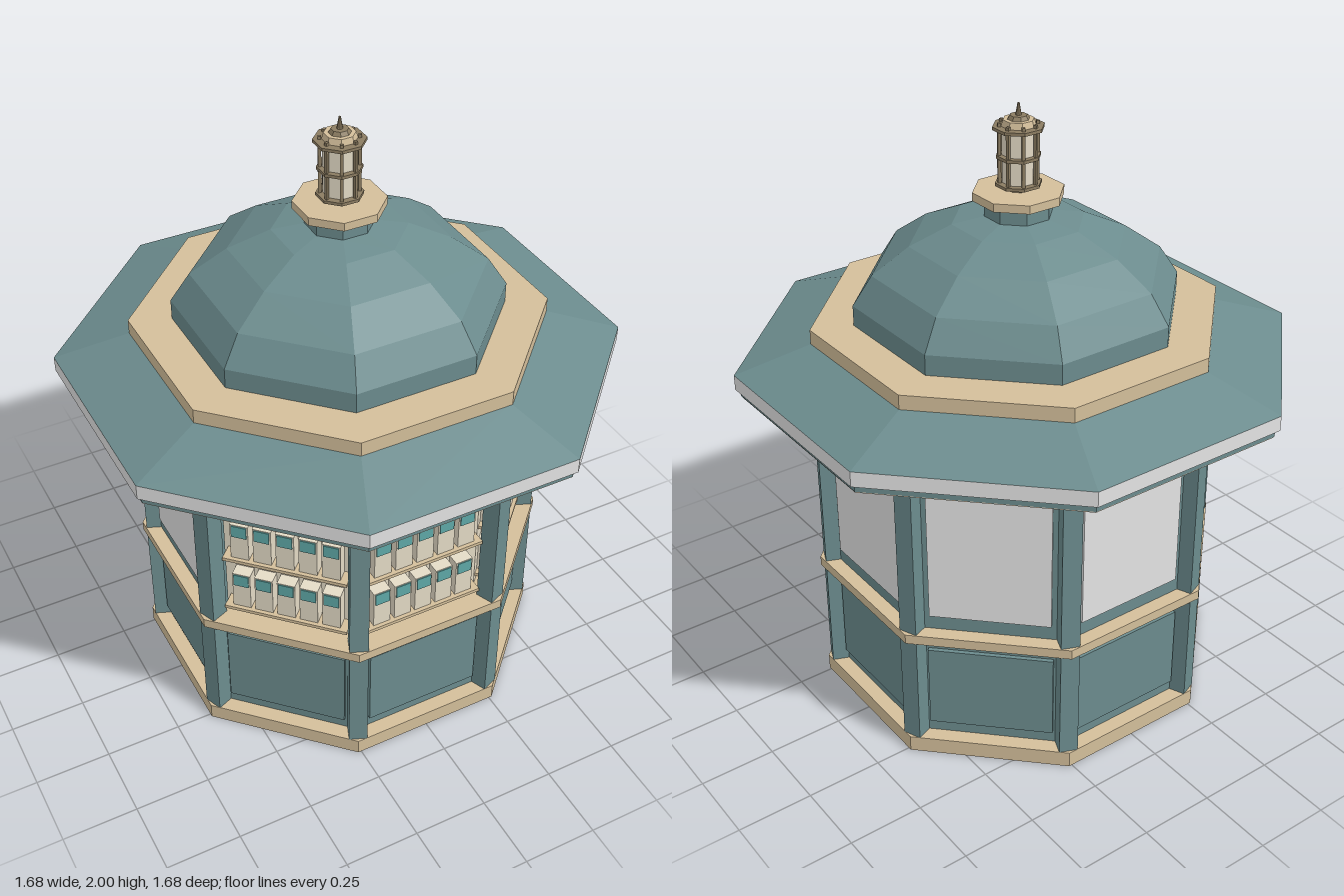
import * as THREE from 'three';

const mat = (name, color) => {
  const m = new THREE.MeshStandardMaterial({ color, flatShading: true });
  m.name = name;
  return m;
};

export function createModel() {
  const teal = mat('teal paint', 0x6c8c8e);
  const tan = mat('tan trim', 0xd4bf9b);
  const cream = mat('cream', 0xe4dbc6);
  const white = mat('white', 0xe4e4e4);
  const soffitTan = mat('soffit', 0xdccbb2);
  const bright = mat('bright teal label', 0x5fa9a8);
  const bronze = mat('bronze', 0x8c7d62);

  const kiosk = new THREE.Group();
  kiosk.name = 'kiosk';

  const add = (parent, name, geometry, material, x = 0, y = 0, z = 0) => {
    const mesh = new THREE.Mesh(geometry, material);
    mesh.name = name;
    mesh.position.set(x, y, z);
    parent.add(mesh);
    return mesh;
  };
  const box = (parent, name, material, w, h, d, x, y, z) =>
    add(parent, name, new THREE.BoxGeometry(w, h, d), material, x, y, z);

  // Octagonal prism given by its apothems, with flat sides facing the axes
  const C = Math.cos(Math.PI / 8);
  const prism = (parent, name, material, a0, a1, y0, y1) => {
    const g = new THREE.CylinderGeometry(a1 / C, a0 / C, y1 - y0, 8);
    g.rotateY(Math.PI / 8);
    return add(parent, name, g, material, 0, (y0 + y1) / 2, 0);
  };

  // Body
  prism(kiosk, 'plinth', tan, 0.63, 0.63, 0, 0.055);
  prism(kiosk, 'lowerWall', teal, 0.58, 0.58, 0.055, 0.44);
  prism(kiosk, 'counterBand', tan, 0.633, 0.633, 0.44, 0.473);
  prism(kiosk, 'innerCore', cream, 0.53, 0.53, 0.473, 1.118);

  // Corner posts
  for (let i = 0; i < 8; i++) {
    const t = (i + 0.5) * Math.PI / 4;
    const post = box(kiosk, 'cornerPost', teal, 0.061, 1.065, 0.061,
      Math.sin(t) * 0.64, 0.5875, Math.cos(t) * 0.64);
    post.rotation.y = t;
  }

  // Eight sides: three hold open shelves, five are closed with a poster
  for (let i = 0; i < 8; i++) {
    const side = new THREE.Group();
    side.rotation.y = i * Math.PI / 4;
    kiosk.add(side);
    box(side, 'lowerPanel', teal, 0.4, 0.29, 0.02, 0, 0.245, 0.584);

    if (i === 0 || i === 1 || i === 7) {
      side.name = 'shelfSide';
      for (const y of [0.505, 0.715, 0.925]) {
        box(side, 'shelf', tan, 0.41, 0.012, 0.06, 0, y, 0.556);
        for (let b = -2; b <= 2; b++) {
          box(side, 'book', cream, 0.06, 0.137, 0.045, b * 0.075, y + 0.0745, 0.5505);
          box(side, 'bookLabel', bright, 0.05, 0.044, 0.004, b * 0.075, y + 0.118, 0.5745);
        }
      }
    } else {
      side.name = 'closedSide';
      box(side, 'upperWall', teal, 0.48, 0.645, 0.05, 0, 0.7955, 0.56);
      box(side, 'poster', white, 0.385, 0.465, 0.009, 0, 0.7575, 0.5895);
    }
  }

  // Roof
  prism(kiosk, 'soffit', soffitTan, 0.823, 0.823, 1.116, 1.12);
  prism(kiosk, 'eaveSkirt', teal, 0.825, 0.825, 1.12, 1.145);
  prism(kiosk, 'fascia', white, 0.84, 0.84, 1.145, 1.195);
  prism(kiosk, 'lowerRoof', teal, 0.84, 0.61, 1.195, 1.276);
  prism(kiosk, 'roofBand', tan, 0.615, 0.615, 1.275, 1.323);

  // Faceted dome
  const profile = [[0.488, 1.323], [0.488, 1.39], [0.43, 1.485], [0.32, 1.57],
    [0.195, 1.63], [0.1, 1.647], [0, 1.647]].map(([a, y]) => new THREE.Vector2(a / C, y));
  add(kiosk, 'dome', new THREE.LatheGeometry(profile, 8, Math.PI / 8), teal);
  prism(kiosk, 'neck', teal, 0.1, 0.1, 1.64, 1.7);
  prism(kiosk, 'neckCap', tan, 0.134, 0.134, 1.7, 1.727);

  // Lantern
  const lantern = new THREE.Group();
  lantern.name = 'lantern';
  kiosk.add(lantern);
  prism(lantern, 'lanternFoot', bronze, 0.035, 0.035, 1.727, 1.745);
  prism(lantern, 'lanternCore', cream, 0.048, 0.048, 1.74, 1.93);
  for (const [y, a] of [[1.747, 0.068], [1.835, 0.065], [1.925, 0.075]])
    prism(lantern, 'lanternRing', bronze, a, a, y - 0.005, y + 0.005);
  for (let i = 0; i < 8; i++) {
    const t = (i + 0.5) * Math.PI / 4;
    const bar = box(lantern, 'lanternBar', bronze, 0.01, 0.2, 0.01,
      Math.sin(t) * 0.06, 1.84, Math.cos(t) * 0.06);
    bar.rotation.y = t;
  }
  prism(lantern, 'lanternCap', tan, 0.05, 0.045, 1.93, 1.95);
  prism(lantern, 'lanternTop', bronze, 0.032, 0.025, 1.95, 1.962);
  prism(lantern, 'spire', bronze, 0.009, 0.003, 1.962, 2);

  return kiosk;
}
